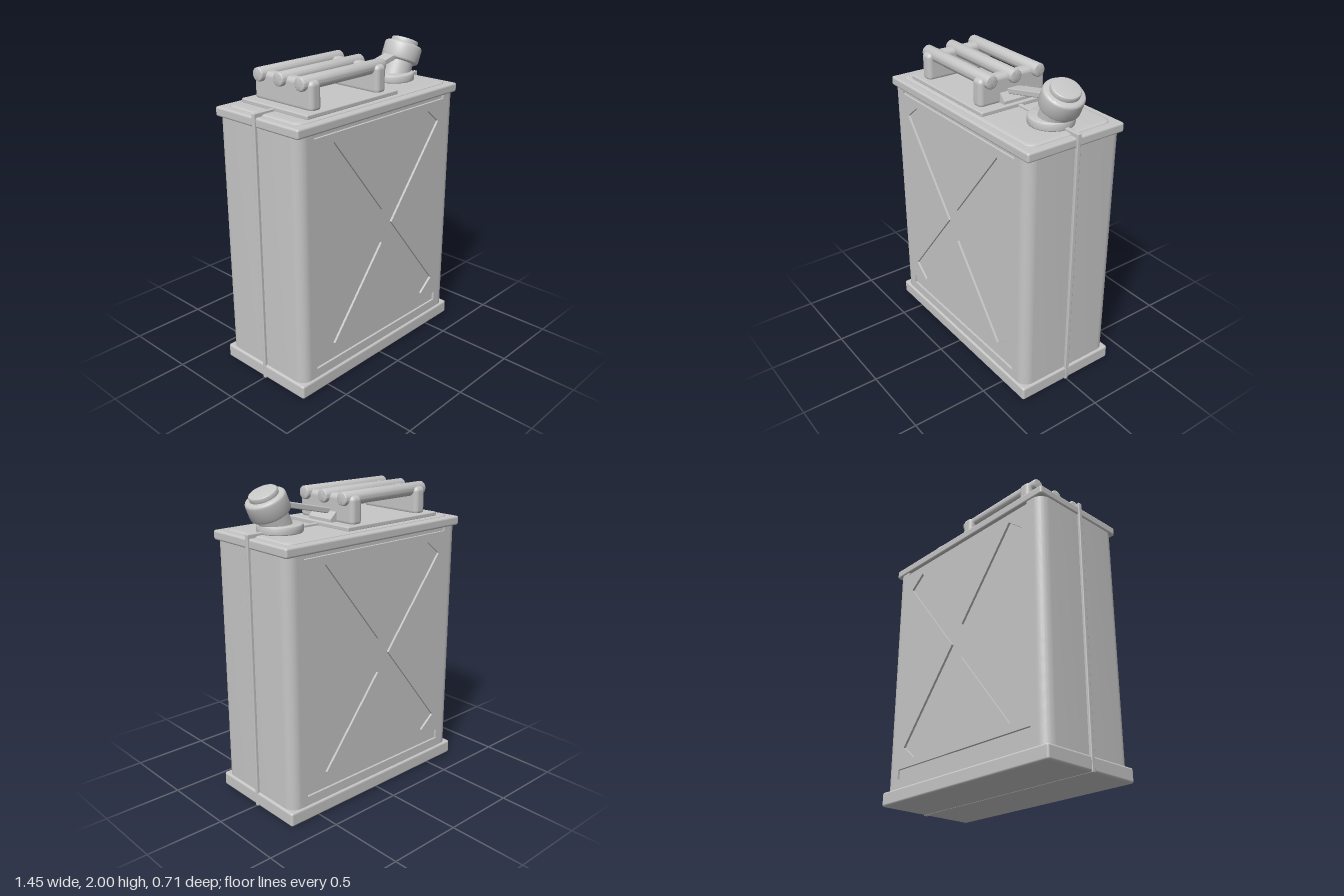
import * as THREE from 'three';
import { toCreasedNormals } from 'three/addons/utils/BufferGeometryUtils.js';
import { RoundedBoxGeometry } from 'three/addons/geometries/RoundedBoxGeometry.js';

const grey = new THREE.MeshStandardMaterial({ color: 0xc6c6c6 });
grey.name = 'grey metal';

function add(parent, name, geometry, x = 0, y = 0, z = 0) {
  const mesh = new THREE.Mesh(geometry, grey);
  mesh.name = name;
  mesh.position.set(x, y, z);
  parent.add(mesh);
  return mesh;
}

// Rounded box given by its limits on each axis
function box(parent, name, x0, x1, y0, y1, z0, z1, r) {
  return add(parent, name, new RoundedBoxGeometry(x1 - x0, y1 - y0, z1 - z0, 3, r),
    (x0 + x1) / 2, (y0 + y1) / 2, (z0 + z1) / 2);
}

// Solid of revolution with softly rounded rims
function disc(parent, name, radius, height, bevel, y) {
  const pts = [new THREE.Vector2(0, 0)];
  for (const [cy, start] of [[bevel, -Math.PI / 2], [height - bevel, 0]])
    for (let i = 0; i <= 4; i++) {
      const a = start + (i / 4) * Math.PI / 2;
      pts.push(new THREE.Vector2(radius - bevel + bevel * Math.cos(a), cy + bevel * Math.sin(a)));
    }
  pts.push(new THREE.Vector2(0, height));
  return add(parent, name, toCreasedNormals(new THREE.LatheGeometry(pts, 48), 0.6), 0, y, 0);
}

function roundedRect(w, d, r) {
  const s = new THREE.Shape();
  s.absarc(w - r, d - r, r, 0, Math.PI / 2);
  s.absarc(-w + r, d - r, r, Math.PI / 2, Math.PI);
  s.absarc(-w + r, -d + r, r, Math.PI, Math.PI * 1.5);
  s.absarc(w - r, -d + r, r, Math.PI * 1.5, Math.PI * 2);
  s.closePath();
  return s;
}

const polygon = (pts) => pts.map(([x, y]) => new THREE.Vector2(x, y));

export function createModel() {
  const can = new THREE.Group();
  can.name = 'fuelCan';

  // Body core: rounded corners, with front and back stepped in to hold the pressed panels
  const W = 0.709, D = 0.34, R = 0.07, depth = 0.015, panelX = W - R;
  const core = new THREE.Shape();
  core.moveTo(W, -D + R);
  core.absarc(W - R, D - R, R, 0, Math.PI / 2);
  core.lineTo(panelX, D - depth);
  core.lineTo(-panelX, D - depth);
  core.absarc(-W + R, D - R, R, Math.PI / 2, Math.PI);
  core.absarc(-W + R, -D + R, R, Math.PI, Math.PI * 1.5);
  core.lineTo(-panelX, -D + depth);
  core.lineTo(panelX, -D + depth);
  core.absarc(W - R, -D + R, R, Math.PI * 1.5, Math.PI * 2);
  const coreGeo = new THREE.ExtrudeGeometry(core, { depth: 1.65, bevelEnabled: false, curveSegments: 10 });
  coreGeo.rotateX(-Math.PI / 2);
  add(can, 'body', toCreasedNormals(coreGeo, 0.6), 0, 0.04, 0);

  // Pressed panels: sunken cross and two sunken bars
  const panel = new THREE.Shape(polygon([[-panelX, 0.04], [panelX, 0.04], [panelX, 1.69], [-panelX, 1.69]]));
  const cy = 0.924;
  const cross = [[0, 0.113], [0.43, 0.658], [0.54, 0.57], [0.09, 0],
    [0.54, -0.57], [0.43, -0.658], [0, -0.113], [-0.43, -0.658],
    [-0.54, -0.57], [-0.09, 0], [-0.54, 0.57], [-0.43, 0.658]].map(([x, y]) => [x, y + cy]);
  panel.holes.push(new THREE.Path(polygon(cross)));
  for (const [y0, y1] of [[0.155, 0.218], [1.632, 1.685]])
    panel.holes.push(new THREE.Path(polygon([[-0.587, y0], [0.587, y0], [0.587, y1], [-0.587, y1]])));
  const panelGeo = new THREE.ExtrudeGeometry(panel, { depth, bevelEnabled: false });
  add(can, 'frontPanel', panelGeo, 0, 0, D - depth);
  add(can, 'backPanel', panelGeo, 0, 0, -D + depth).rotation.y = Math.PI;

  // Rims, raised lid and the welded seam running around the middle
  box(can, 'bottomRim', -0.724, 0.724, 0.004, 0.095, -0.353, 0.353, 0.014);
  box(can, 'topRim', -0.717, 0.717, 1.655, 1.715, -0.347, 0.347, 0.014);
  const lid = new THREE.ExtrudeGeometry(roundedRect(0.64, 0.27, 0.03), {
    depth: 0.01, bevelThickness: 0.01, bevelSize: 0.03, bevelSegments: 4, curveSegments: 6 });
  lid.rotateX(-Math.PI / 2);
  add(can, 'raisedLid', toCreasedNormals(lid, 0.6), 0, 1.705, 0);
  box(can, 'seam', -0.727, 0.727, 0, 1.74, -0.013, 0.013, 0.005);

  // Triple carrying handle
  const handle = new THREE.Group();
  handle.name = 'handle';
  can.add(handle);
  box(handle, 'handlePlate', -0.575, 0.2, 1.72, 1.75, -0.275, 0.275, 0.008);
  for (const x of [-0.462, 0.09])
    box(handle, 'handleSupport', x - 0.043, x + 0.043, 1.735, 1.915, -0.24, 0.24, 0.03);
  for (const z of [-0.173, 0, 0.173]) {
    const bar = disc(handle, 'handleBar', 0.042, 0.695, 0.01, 1.897);
    bar.rotation.z = -Math.PI / 2;
    bar.position.x = -0.535;
    bar.position.z = z;
  }

  // Hinge wedge and the strap reaching to the cap
  const wedge = new THREE.Shape(polygon([[0.11, 1.745], [0.178, 1.745], [0.178, 1.768], [0.135, 1.81], [0.11, 1.81]]));
  add(can, 'hinge', new THREE.ExtrudeGeometry(wedge, { depth: 0.2, bevelEnabled: false }), 0, 0, -0.1);
  const strap = add(can, 'capStrap', new RoundedBoxGeometry(0.37, 0.034, 0.086, 2, 0.006), 0.293, 1.845, 0);
  strap.rotation.z = Math.atan2(0.07, 0.31);

  // Spout collar with the tilted neck and cap
  disc(can, 'spoutCollar', 0.138, 0.055, 0.012, 1.72).position.x = 0.483;
  const spout = new THREE.Group();
  spout.name = 'spout';
  spout.position.set(0.542, 1.832, 0);
  spout.rotation.z = -0.42;
  can.add(spout);
  add(spout, 'neck', new THREE.CylinderGeometry(0.095, 0.095, 0.15, 40), 0, -0.06, 0);
  disc(spout, 'cap', 0.124, 0.118, 0.02, 0);
  disc(spout, 'capTop', 0.088, 0.05, 0.008, 0.098);

  return can;
}
